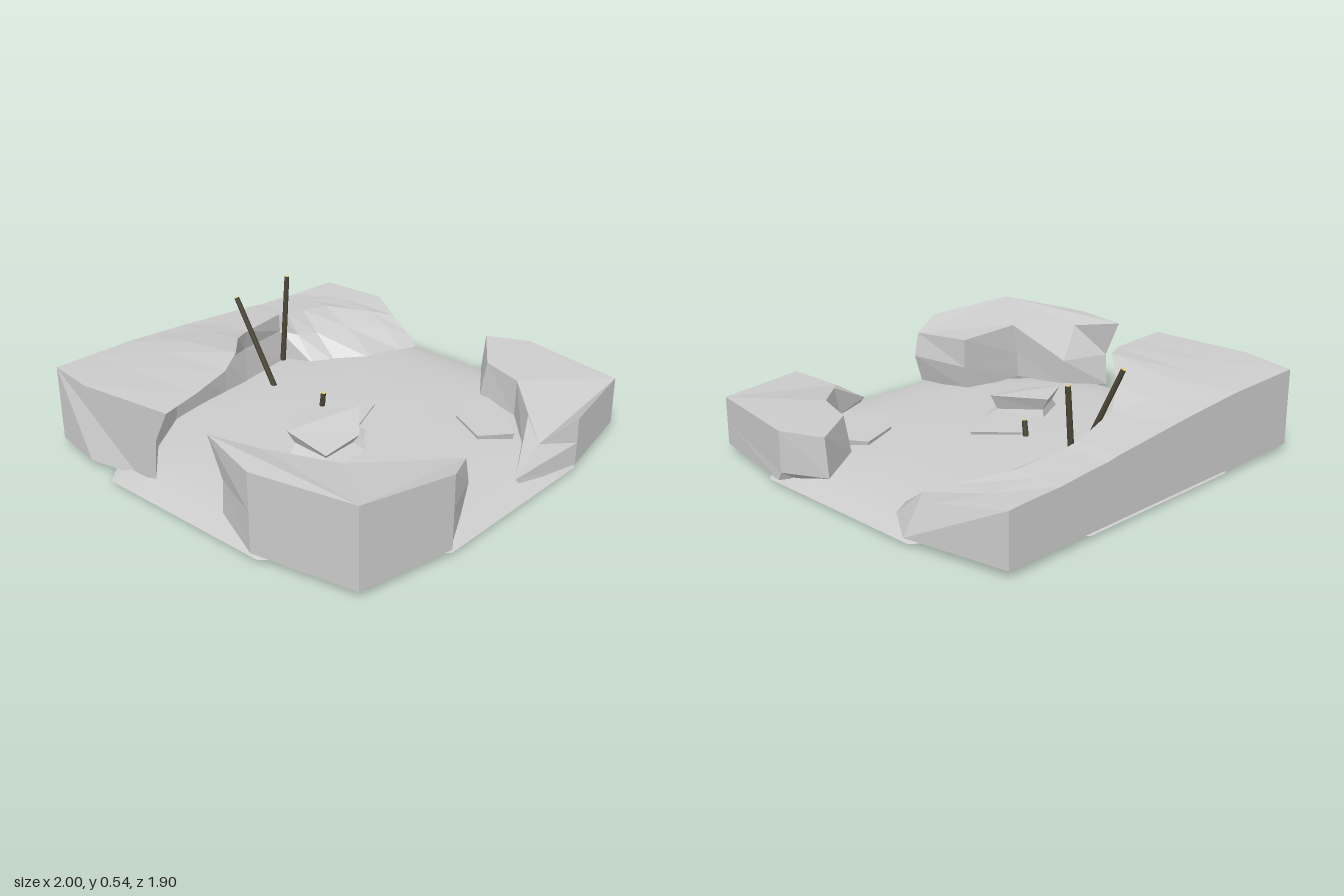
import * as THREE from 'three';

const rockMat = new THREE.MeshStandardMaterial({ color: 0xcccccc, flatShading: true });
const groundMat = new THREE.MeshStandardMaterial({ color: 0xcccccc, side: THREE.DoubleSide });
const woodMat = new THREE.MeshStandardMaterial({ color: 0x4a4636 });
const cutMat = new THREE.MeshStandardMaterial({ color: 0xe0cc70 });

// Closed faceted solid through rings of [x, y, z]; u and v are the axes the end caps lie in.
function loft(name, rings, u, v) {
  const tris = [];
  const n = rings[0].length;
  for (let r = 0; r + 1 < rings.length; r++) {
    for (let i = 0; i < n; i++) {
      const j = (i + 1) % n;
      const [a, b, c, d] = [rings[r][i], rings[r][j], rings[r + 1][j], rings[r + 1][i]];
      tris.push([a, b, c], [a, c, d]);
    }
  }
  const cap = (ring, flip) => {
    const flat = ring.map((p) => new THREE.Vector2(p[u], p[v]));
    const sign = Math.sign(THREE.ShapeUtils.area(flat));
    for (const f of THREE.ShapeUtils.triangulateShape(flat, [])) {
      const same = Math.sign(THREE.ShapeUtils.area(f.map((i) => flat[i]))) === sign;
      const t = f.map((i) => ring[i]);
      tris.push(same !== flip ? t : t.reverse());
    }
  };
  cap(rings[0], true);
  cap(rings[rings.length - 1], false);

  // Turn the solid outward if its signed volume is negative
  let volume = 0;
  for (const [a, b, c] of tris) {
    const [p, q, s] = [a, b, c].map((t) => new THREE.Vector3(...t));
    volume += p.dot(q.cross(s));
  }
  if (volume < 0) tris.forEach((t) => t.reverse());
  const geo = new THREE.BufferGeometry();
  geo.setAttribute('position', new THREE.Float32BufferAttribute(tris.flat(2), 3));
  geo.computeVertexNormals();
  const mesh = new THREE.Mesh(geo, rockMat);
  mesh.name = name;
  return mesh;
}

// Outline of [x, z] scaled about its middle; y is one height or a height per corner
function layer(outline, y, scale = 1, dz = 0) {
  const cx = outline.reduce((s, p) => s + p[0], 0) / outline.length;
  const cz = outline.reduce((s, p) => s + p[1], 0) / outline.length;
  return outline.map(([x, z], i) => [cx + (x - cx) * scale, Array.isArray(y) ? y[i] : y, cz + (z - cz) * scale + dz]);
}

// Domed octagonal floor that drops quickly at its rim
function makeGround() {
  const corners = [[-0.45, 0.95], [0.45, 0.95], [1, 0.41], [1, -0.5], [0.45, -0.95], [-0.45, -0.95], [-1, -0.5], [-1, 0.41]];
  const rim = [];
  const split = 5, steps = 12, cz = -0.2;
  corners.forEach((a, i) => {
    const b = corners[(i + 1) % 8];
    for (let k = 0; k < split; k++) rim.push([a[0] + (b[0] - a[0]) * k / split, a[1] + (b[1] - a[1]) * k / split]);
  });
  const pos = [], index = [], n = rim.length;
  for (let r = 0; r <= steps; r++) {
    const t = r / steps;
    const y = 0.015 + 0.045 * (1 - t ** 8) + 0.048 * (1 - t * t);
    for (const [x, z] of rim) pos.push(x * t, y, cz + (z - cz) * t);
  }
  for (let r = 0; r < steps; r++) {
    for (let i = 0; i < n; i++) {
      const a = r * n + i, b = r * n + (i + 1) % n;
      if (r > 0) index.push(a, a + n, b);
      index.push(b, a + n, b + n);
    }
  }
  const geo = new THREE.BufferGeometry();
  geo.setAttribute('position', new THREE.Float32BufferAttribute(pos, 3));
  geo.setIndex(index);
  geo.computeVertexNormals();
  const mesh = new THREE.Mesh(geo, groundMat);
  mesh.name = 'ground';
  return mesh;
}

// Back ridge: deep overhang on the left, sloping forward on the right
function makeRidge() {
  // x, bulged x, back top y, bulge z at top and base, lip z, lip y, middle z, middle y, foot z
  const sections = [
    [-0.91, -0.957, 0.39, -0.69, -0.69, -0.2, 0.415, -0.28, 0.26, -0.3],
    [-0.72, -0.72, 0.385, -0.69, -0.75, -0.23, 0.425, -0.48, 0.26, -0.51],
    [-0.5, -0.5, 0.38, -0.69, -0.82, -0.28, 0.44, -0.61, 0.26, -0.64],
    [-0.36, -0.36, 0.37, -0.7, -0.83, -0.36, 0.455, -0.62, 0.26, -0.65],
    [-0.16, -0.16, 0.355, -0.76, -0.85, -0.56, 0.4, -0.65, 0.255, -0.66],
    [0, 0, 0.34, -0.82, -0.86, -0.67, 0.35, -0.69, 0.25, -0.67],
    [0.31, 0.31, 0.31, -0.85, -0.9, -0.755, 0.32, -0.75, 0.23, -0.72],
    [0.37, 0.37, 0.3, -0.85, -0.85, -0.75, 0.31, -0.68, 0.21, -0.56],
    [0.47, 0.47, 0.295, -0.85, -0.8, -0.74, 0.3, -0.64, 0.2, -0.5],
    [0.63, 0.63, 0.28, -0.84, -0.7, -0.72, 0.28, -0.58, 0.2, -0.37],
    [0.82, 0.82, 0.275, -0.77, -0.6, -0.57, 0.23, -0.46, 0.17, -0.365],
    [0.91, 0.997, 0.27, -0.66, -0.47, -0.49, 0.2, -0.39, 0.13, -0.33],
  ];
  return loft('backRidge', sections.map(([x, b, top, tz, bz, lz, ly, mz, my, fz]) => [
    [x, 0.03, -0.955], [x, top, -0.955], [b, (top + ly) / 2, tz], [x, ly, lz],
    [x, my, mz], [x, 0.065, fz], [x, 0.03, fz - 0.12], [b, 0.03, bz],
  ]), 1, 2);
}

// Round wooden pole between two points, with pale cut ends
function pole(name, from, to) {
  const a = new THREE.Vector3(...from), b = new THREE.Vector3(...to);
  const mesh = new THREE.Mesh(new THREE.CylinderGeometry(0.012, 0.014, a.distanceTo(b), 8), [woodMat, cutMat, woodMat]);
  mesh.position.copy(a).lerp(b, 0.5);
  mesh.quaternion.setFromUnitVectors(new THREE.Vector3(0, 1, 0), b.sub(a).normalize());
  mesh.name = name;
  return mesh;
}

export function createModel() {
  const model = new THREE.Group();
  model.name = 'rockyArena';
  model.add(makeGround(), makeRidge());

  // Tall right-hand front block: bevelled base, waist and top share one vertex order
  model.add(loft('tallFrontBlock', [
    [[-0.94, 0.03, 0.3], [-0.86, 0.03, 0.45], [-0.74, 0.03, 0.67], [-0.55, 0.03, 0.7], [-0.47, 0.03, 0.85], [-0.45, 0.03, 0.95], [-0.91, 0.03, 0.86], [-1, 0.03, 0.37]],
    [[-0.91, 0.07, 0.12], [-0.75, 0.07, 0.29], [-0.68, 0.07, 0.54], [-0.33, 0.07, 0.56], [-0.28, 0.07, 0.86], [-0.45, 0.07, 0.95], [-0.91, 0.07, 0.86], [-1, 0.07, 0.37]],
    [[-0.91, 0.23, 0.13], [-0.74, 0.2, 0.27], [-0.67, 0.2, 0.54], [-0.3, 0.2, 0.553], [-0.235, 0.21, 0.86], [-0.45, 0.22, 0.95], [-0.91, 0.22, 0.86], [-1, 0.22, 0.37]],
    [[-0.91, 0.41, 0.05], [-0.81, 0.38, 0.26], [-0.65, 0.355, 0.55], [-0.3, 0.345, 0.55], [-0.26, 0.33, 0.86], [-0.45, 0.375, 0.95], [-0.91, 0.41, 0.86], [-1, 0.4, 0.37]],
  ], 0, 2));

  // Low left-hand front block, tapering to a tongue towards the middle
  model.add(loft('lowFrontBlock', [
    [[0.94, 0.03, 0.31], [1, 0.03, 0.34], [0.91, 0.03, 0.86], [0.45, 0.03, 0.95], [0.14, 0.03, 0.87], [0.43, 0.03, 0.77], [0.64, 0.03, 0.6], [0.75, 0.03, 0.42]],
    [[0.91, 0.08, 0.1], [1, 0.07, 0.32], [0.91, 0.14, 0.86], [0.45, 0.14, 0.95], [0.11, 0.065, 0.86], [0.38, 0.08, 0.71], [0.58, 0.08, 0.53], [0.65, 0.08, 0.28]],
    [[0.91, 0.26, 0.12], [1, 0.26, 0.32], [0.91, 0.26, 0.86], [0.45, 0.26, 0.95], [0.28, 0.17, 0.86], [0.4, 0.215, 0.72], [0.6, 0.25, 0.52], [0.67, 0.25, 0.3]],
  ], 0, 2));

  // Undercut boulder in the middle, its top tilted towards the front
  const boulder = [[-0.41, 0], [-0.23, -0.09], [-0.04, 0.1], [-0.17, 0.215], [-0.39, 0.215]];
  model.add(loft('middleBoulder', [
    layer(boulder, 0, 0.85, 0.03), layer(boulder, 0.09, 1.13, 0.045),
    layer(boulder, [0.14, 0.14, 0.145, 0.125, 0.12], 0.8), layer(boulder, [0.205, 0.2, 0.22, 0.165, 0.15]),
  ], 0, 2));

  // Flat slabs lying in the floor
  const slab = [[0.02, -0.16], [0.18, 0.01], [-0.02, 0.09], [-0.14, -0.03]];
  const sideSlab = [[0.36, 0.35], [0.56, 0.27], [0.61, 0.35], [0.55, 0.5], [0.39, 0.66], [0.26, 0.55]];
  model.add(loft('middleSlab', [layer(slab, 0.08, 0.85), layer(slab, 0.12)], 0, 2));
  model.add(loft('sideSlab', [layer(sideSlab, 0.02, 0.9), layer(sideSlab, 0.105)], 0, 2));

  // Poles
  model.add(
    pole('leaningPole', [0.03, 0.09, -0.515], [-0.027, 0.53, -0.7]),
    pole('uprightPole', [0.283, 0.09, -0.705], [0.32, 0.54, -0.7]),
    pole('poleStump', [0.014, 0.07, -0.185], [0.01, 0.18, -0.168]),
  );
  return model;
}
